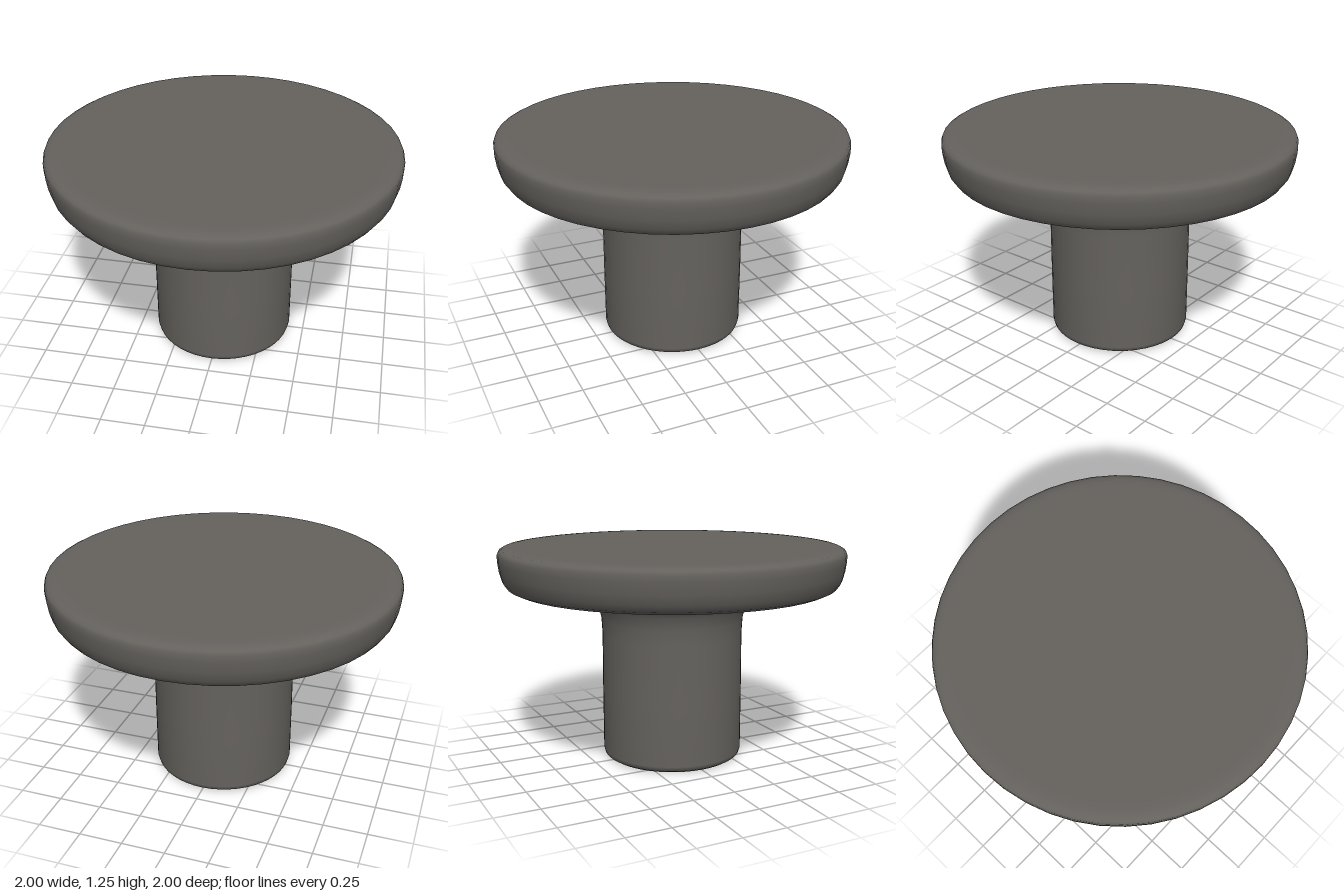
import * as THREE from 'three';

// Smooth surface of revolution from [radius, height] pairs, listed bottom to top
function turned(name, profile, material, segments = 48) {
  const points = profile.map(([r, y]) => new THREE.Vector2(r, y));
  const mesh = new THREE.Mesh(new THREE.LatheGeometry(points, segments), material);
  mesh.name = name;
  return mesh;
}

export function createModel() {
  const knob = new THREE.Group();
  knob.name = 'knob';
  const darkGrey = new THREE.MeshStandardMaterial({ color: 0x65625e });
  darkGrey.name = 'darkGrey';

  // Round stem with a softened foot, flaring into a thin collar under the head
  knob.add(turned('stem', [
    [0, 0.01], [0.36, 0.01], [0.385, 0.012], [0.405, 0.025], [0.412, 0.05],
    [0.412, 0.4], [0.41, 0.75], [0.415, 0.84], [0.43, 0.91], [0.46, 0.96],
    [0.51, 0.99], [0.58, 1.0], [0.74, 1.008], [0.76, 1.015], [0.765, 1.03], [0.765, 1.06],
  ], darkGrey));

  // Disc head: shallow groove below, rounded rim, flat top
  knob.add(turned('head', [
    [0.74, 1.045], [0.8, 1.045], [0.815, 1.035], [0.83, 1.02], [0.86, 1.015],
    [0.91, 1.022], [0.95, 1.04], [0.975, 1.075], [0.99, 1.13], [0.998, 1.19],
    [0.998, 1.225], [0.99, 1.245], [0.97, 1.256], [0.94, 1.26], [0.9, 1.262], [0, 1.262],
  ], darkGrey));

  return knob;
}
